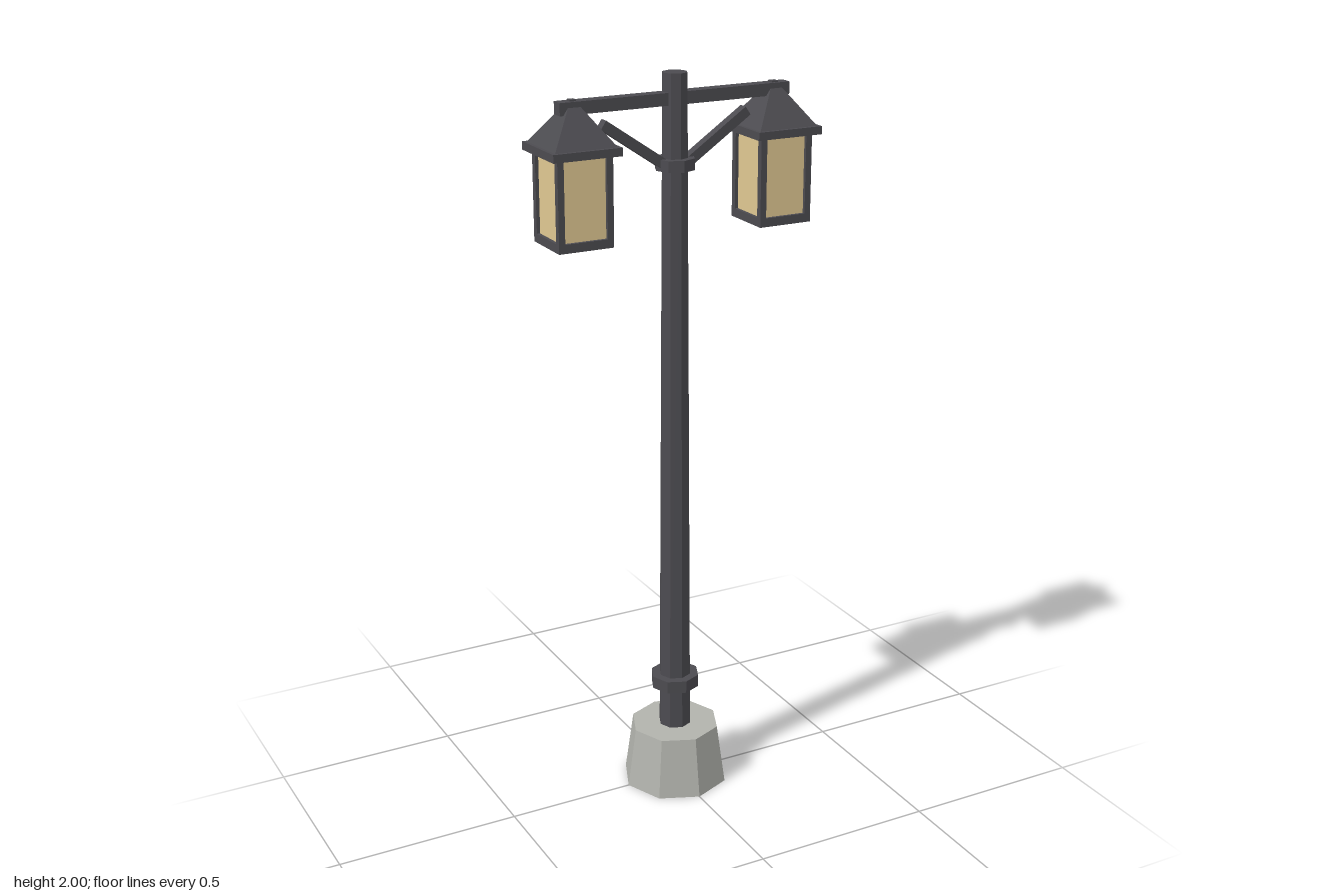
import * as THREE from 'three';

const material = (color) => new THREE.MeshStandardMaterial({ color, flatShading: true });

export function createModel() {
  const model = new THREE.Group();
  model.name = 'streetLamp';
  const iron = material(0x4c4b50);
  const stone = material(0xb2b3ad);
  const glass = material(0xe0c892);

  const add = (parent, name, geometry, mat, x = 0, y = 0, z = 0) => {
    const mesh = new THREE.Mesh(geometry, mat);
    mesh.name = name;
    mesh.position.set(x, y, z);
    parent.add(mesh);
    return mesh;
  };
  // Eight-sided drum between two heights
  const drum = (name, rBottom, rTop, y0, y1, mat) =>
    add(model, name, new THREE.CylinderGeometry(rTop, rBottom, y1 - y0, 8), mat, 0, (y0 + y1) / 2);
  // Box centred on (x, z) between two heights
  const block = (parent, name, w, d, y0, y1, mat, x = 0, z = 0) =>
    add(parent, name, new THREE.BoxGeometry(w, y1 - y0, d), mat, x, (y0 + y1) / 2, z);

  // Footing, tapered pole and its collars
  drum('footing', 0.148, 0.124, 0, 0.17, stone);
  drum('pole', 0.045, 0.033, 0.17, 2, iron);
  drum('lowerCollar', 0.068, 0.068, 0.29, 0.325, iron);
  drum('upperCollar', 0.053, 0.053, 1.755, 1.785, iron);

  // Crossarm
  block(model, 'crossarm', 0.648, 0.034, 1.92, 1.952, iron);

  for (const side of [-1, 1]) {
    // Diagonal brace from the upper collar towards the crossarm
    const from = new THREE.Vector2(0.025, 1.765);
    const to = new THREE.Vector2(0.205, 1.887);
    const span = to.clone().sub(from);
    const brace = add(model, 'brace', new THREE.BoxGeometry(span.length(), 0.026, 0.026), iron,
      side * (from.x + to.x) / 2, (from.y + to.y) / 2);
    brace.rotation.z = side * span.angle();

    // Lantern hung beneath the arm
    const lantern = new THREE.Group();
    lantern.name = side > 0 ? 'leftLantern' : 'rightLantern';
    lantern.position.x = side * 0.285;
    model.add(lantern);

    block(lantern, 'lanternFloor', 0.15, 0.15, 1.593, 1.616, iron);
    block(lantern, 'glass', 0.132, 0.132, 1.616, 1.826, glass);
    for (const px of [-1, 1]) for (const pz of [-1, 1]) {
      block(lantern, 'cornerPost', 0.017, 0.017, 1.616, 1.826, iron, px * 0.0665, pz * 0.0665);
    }
    block(lantern, 'eaves', 0.186, 0.186, 1.824, 1.845, iron);

    // Four-sided roof, cut off at a small square top
    const roof = new THREE.CylinderGeometry(0.012 * Math.SQRT2, 0.084 * Math.SQRT2, 0.1, 4);
    roof.rotateY(Math.PI / 4);
    add(lantern, 'roof', roof, iron, 0, 1.895);
    block(lantern, 'finial', 0.018, 0.018, 1.94, 1.956, iron);
  }
  return model;
}
